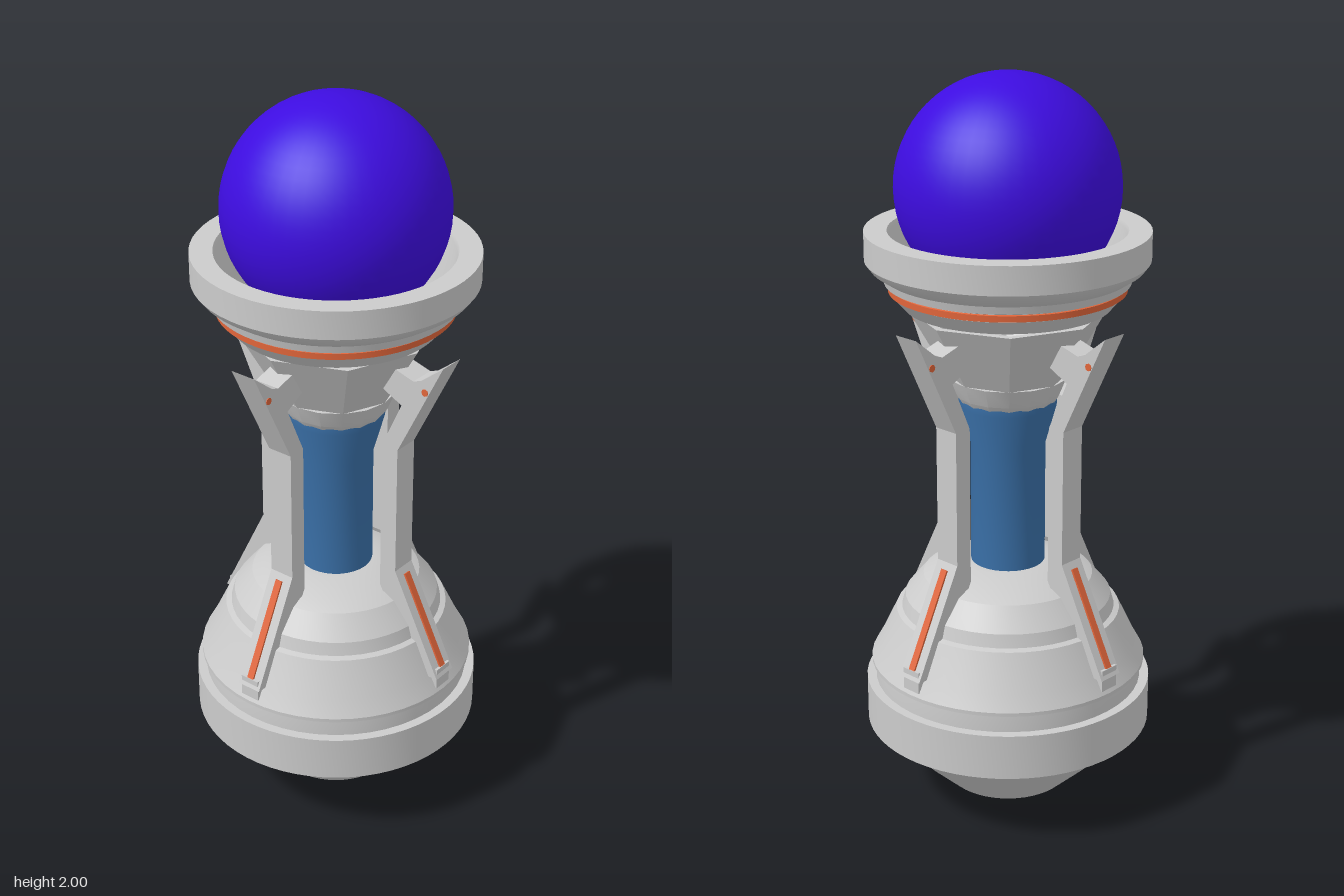
import * as THREE from 'three';
import { toCreasedNormals } from 'three/addons/utils/BufferGeometryUtils.js';

const paint = (color) => new THREE.MeshStandardMaterial({ color, side: THREE.DoubleSide });
const grey = paint(0xcccccc);
const blue = paint(0x3a70a8);
const orange = paint(0xe0653a);
const purple = paint(0x3d0ce0);

export function createModel() {
  const model = new THREE.Group();

  const add = (parent, name, geometry, material = grey) => {
    const mesh = new THREE.Mesh(geometry, material);
    mesh.name = name;
    parent.add(mesh);
    return mesh;
  };

  // Turned part from [radius, height] pairs, listed from bottom to top
  const turned = (name, points, material, sides = 48) => {
    const profile = points.map(([r, y]) => new THREE.Vector2(r, y));
    const geometry = new THREE.LatheGeometry(profile, sides);
    return add(model, name, toCreasedNormals(geometry, 0.4), material);
  };

  // Bulbous base with its wide band and stepped shoulder
  turned('base', [
    [0, 0], [0.08, 0.005], [0.13, 0.02], [0.17, 0.03], [0.25, 0.105], [0.365, 0.22],
    [0.365, 0.345], [0.36, 0.395], [0.375, 0.395], [0.375, 0.405], [0.35, 0.45],
    [0.305, 0.545], [0.29, 0.55], [0.28, 0.585], [0.23, 0.645], [0.2, 0.66],
    [0.12, 0.685], [0.09, 0.685],
  ]);
  turned('baseBand', [[0.36, 0.22], [0.39, 0.22], [0.39, 0.345], [0.36, 0.345]], grey, 64);

  // Blue core tube, flared at the top
  turned('coreTube', [
    [0.1, 0.66], [0.1, 1.02], [0.13, 1.13], [0.13, 1.15], [0.1, 1.15],
  ], blue, 32);

  // Collar and faceted funnel under the bowl
  turned('collar', [[0.09, 1.14], [0.13, 1.145], [0.14, 1.16], [0.16, 1.21], [0.1, 1.21]], grey, 16);
  turned('funnel', [
    [0.13, 1.2], [0.16, 1.21], [0.26, 1.385], [0.24, 1.385], [0.12, 1.22],
  ], grey, 8);

  // Hollow bowl ring holding the orb
  turned('bowlRing', [
    [0.27, 1.4], [0.305, 1.44], [0.305, 1.46], [0.32, 1.465], [0.325, 1.485], [0.355, 1.505],
    [0.37, 1.525], [0.37, 1.6], [0.31, 1.6], [0.305, 1.59], [0.295, 1.46], [0.27, 1.4],
  ], grey, 64);
  turned('glowRing', [[0.303, 1.44], [0.31, 1.442], [0.31, 1.458], [0.303, 1.46]], orange, 64);

  const orb = add(model, 'orb', new THREE.SphereGeometry(0.292, 48, 32), purple);
  orb.position.y = 1.708;

  // Bent arm, outlined in the radius/height plane and extruded sideways
  const width = 0.072;
  const outline = [
    [0.3, 0.45], [0.375, 0.45], [0.23, 0.74], [0.23, 1.11], [0.365, 1.388], [0.3, 1.335],
    [0.275, 1.325], [0.205, 1.345], [0.17, 1.28], [0.24, 1.245], [0.18, 1.11], [0.18, 0.68],
  ].map(([r, y]) => new THREE.Vector2(r, y));
  const armGeometry = new THREE.ExtrudeGeometry(new THREE.Shape(outline), {
    depth: width, bevelEnabled: false,
  });
  armGeometry.translate(0, 0, -width / 2);
  const footGeometry = new THREE.BoxGeometry(0.05, 0.06, 0.056);
  const stripGeometry = new THREE.BoxGeometry(0.008, 0.28, 0.02);
  const markGeometry = new THREE.CylinderGeometry(0.01, 0.01, width + 0.004, 8).rotateX(Math.PI / 2);

  for (let i = 0; i < 4; i++) {
    const arm = new THREE.Group();
    arm.name = 'arm' + (i + 1);
    arm.rotation.y = (i * Math.PI) / 2;
    add(arm, 'armBody', armGeometry);
    add(arm, 'armFoot', footGeometry).position.set(0.345, 0.445, 0);
    // Glowing strip lying on the sloping lower face
    const strip = add(arm, 'armStrip', stripGeometry, orange);
    strip.position.set(0.303, 0.597, 0);
    strip.rotation.z = Math.atan2(0.145, 0.29);
    add(arm, 'armMark', markGeometry, orange).position.set(0.312, 1.305, 0);
    model.add(arm);
  }

  return model;
}
